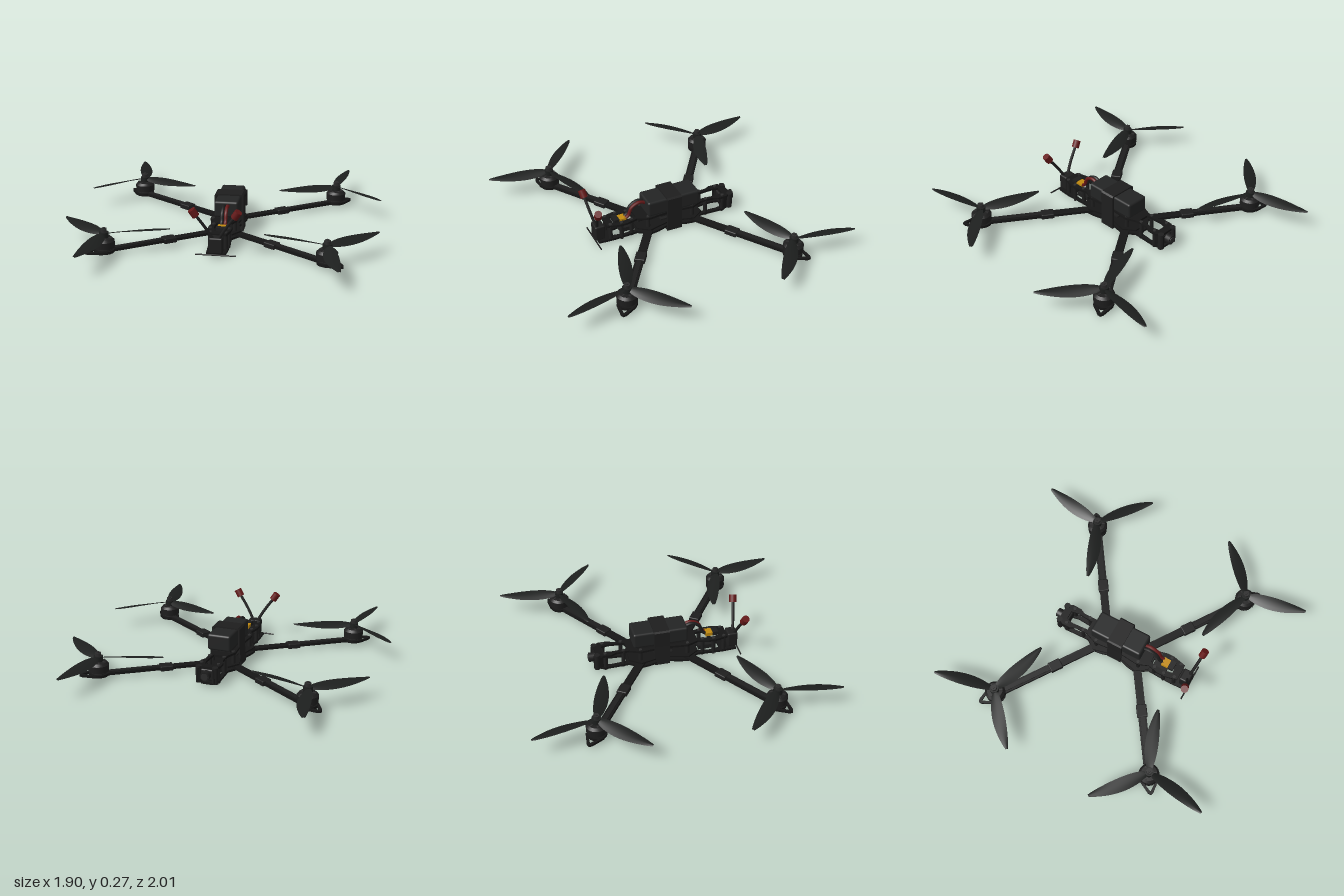
import * as THREE from 'three';
import { RoundedBoxGeometry } from 'three/addons/geometries/RoundedBoxGeometry.js';

const mat = (name, color, side = THREE.FrontSide) => {
  const m = new THREE.MeshStandardMaterial({ color, side });
  m.name = name;
  return m;
};

export function createModel() {
  const carbon = mat('carbon black', 0x161616);
  const plastic = mat('black plastic', 0x1e1e1e);
  const rubber = mat('battery black', 0x232424);
  const propMat = mat('propeller black', 0x1d1f1e, THREE.DoubleSide);
  const metal = mat('dark metal', 0x2c2c2c);
  const red = mat('dark red', 0x651818);
  const yellow = mat('connector yellow', 0xc08a10);

  const model = new THREE.Group();
  model.name = 'quadcopter';
  const yaw = 0.517;
  const body = new THREE.Group();
  body.name = 'airframe';
  body.rotation.y = yaw;
  model.add(body);

  const add = (parent, name, geo, m, x = 0, y = 0, z = 0) => {
    const mesh = new THREE.Mesh(geo, m);
    mesh.name = name;
    mesh.position.set(x, y, z);
    parent.add(mesh);
    return mesh;
  };
  const box = (w, h, d) => new THREE.BoxGeometry(w, h, d);
  const cyl = (r, h, n = 20, r2 = r) => new THREE.CylinderGeometry(r, r2, h, n);
  const tube = (pts, r) => new THREE.TubeGeometry(
    new THREE.CatmullRomCurve3(pts.map(p => new THREE.Vector3(...p))), 20, r, 8);
  const poly = pts => pts.map(p => new THREE.Vector2(...p));
  // Flat plate in the xz plane whose upper face sits at y = 0
  const plate = (outline, holes, t) => {
    const s = new THREE.Shape(poly(outline));
    holes.forEach(h => s.holes.push(new THREE.Path(poly(h))));
    return new THREE.ExtrudeGeometry(s, { depth: t, bevelEnabled: false }).rotateX(Math.PI / 2);
  };
  // Mirrored outline from half-widths listed as [halfWidth, z]
  const mirrored = half => [...half, ...half.map(([x, z]) => [-x, z]).reverse()];

  // Frame plates with end slots
  const slots = [
    mirrored([[0.024, -0.33], [0.032, -0.29], [0.026, -0.2]]),
    mirrored([[0.026, 0.19], [0.034, 0.26], [0.024, 0.32]]),
  ];
  const topHalf = [[0.042, -0.37], [0.062, -0.34], [0.062, -0.29], [0.048, -0.26], [0.048, -0.19],
    [0.072, -0.13], [0.06, 0], [0.072, 0.13], [0.048, 0.19], [0.062, 0.25], [0.062, 0.29], [0.046, 0.36]];
  const bottomHalf = [[0.03, -0.37], [0.055, -0.33], [0.05, -0.19], [0.092, -0.13], [0.085, -0.08],
    [0.06, 0], [0.085, 0.08], [0.092, 0.13], [0.05, 0.19], [0.055, 0.33], [0.05, 0.41]];
  add(body, 'topPlate', plate(mirrored(topHalf), slots, 0.012), carbon, 0, 0.104, 0);
  add(body, 'bottomPlate', plate(mirrored(bottomHalf), slots, 0.012), carbon, 0, 0.02, 0);
  add(body, 'armClampPlate', plate(mirrored([[0.05, -0.19], [0.092, -0.13], [0.06, 0], [0.092, 0.13],
    [0.05, 0.19]]), [], 0.008), carbon, 0, 0.042, 0);

  // Standoffs and screws
  for (const sx of [-1, 1]) for (const [x, z] of [[0.046, -0.32], [0.04, -0.22], [0.058, -0.13],
    [0.058, 0.13], [0.04, 0.22], [0.048, 0.28], [0.04, 0.34]]) {
    add(body, 'standoff', cyl(0.011, 0.08, 12), plastic, sx * x, 0.056, z);
    add(body, 'screwHead', cyl(0.009, 0.006, 10), metal, sx * x, 0.107, z);
    add(body, 'bottomScrew', cyl(0.009, 0.006, 10), metal, sx * x, 0.006, z);
  }

  // Electronics stack between the plates
  [0.052, 0.072, 0.088].forEach((y, i) =>
    add(body, 'circuitBoard', box(0.095 - i * 0.008, 0.008, 0.1), plastic, 0, y, 0));
  add(body, 'videoTransmitter', box(0.06, 0.025, 0.08), plastic, 0, 0.04, 0.24);
  add(body, 'capacitor', cyl(0.018, 0.08, 16).rotateX(Math.PI / 2), plastic, 0, 0.065, 0.13);

  // Camera and its side cage
  for (const s of [-1, 1]) {
    add(body, 'cameraCage', box(0.01, 0.078, 0.075), carbon, s * 0.043, 0.058, -0.345);
    add(body, 'cageBumper', cyl(0.016, 0.09, 12), plastic, s * 0.045, 0.06, -0.365);
  }
  add(body, 'cameraBody', new RoundedBoxGeometry(0.07, 0.06, 0.05, 2, 0.008), plastic, 0, 0.06, -0.345);
  add(body, 'lensBarrel', cyl(0.025, 0.035, 20).rotateX(Math.PI / 2), plastic, 0, 0.062, -0.385);
  add(body, 'lensGlass', cyl(0.018, 0.006, 20).rotateX(Math.PI / 2), metal, 0, 0.062, -0.403);

  // Battery with strap around the frame
  add(body, 'battery', new RoundedBoxGeometry(0.128, 0.088, 0.3, 3, 0.012), rubber, 0.012, 0.156, -0.015);
  add(body, 'batteryPad', box(0.1, 0.01, 0.26), plastic, 0.005, 0.108, -0.015);
  const outer = [[-0.075, 0], [0.09, 0], [0.09, 0.2], [0.082, 0.208], [-0.058, 0.208], [-0.066, 0.2], [-0.066, 0.11]];
  const inner = [[-0.066, 0.006], [0.08, 0.006], [0.08, 0.199], [-0.056, 0.199], [-0.056, 0.11]];
  const strap = new THREE.Shape(poly(outer));
  strap.holes.push(new THREE.Path(poly(inner)));
  add(body, 'batteryStrap', new THREE.ExtrudeGeometry(strap, { depth: 0.085, bevelEnabled: false }),
    plastic, 0, 0, -0.055);

  // Battery leads and connector
  [[0.022, red], [0.002, plastic]].forEach(([x, m]) => add(body, 'batteryLead', tube([
    [x, 0.17, 0.12], [x, 0.186, 0.165], [x, 0.165, 0.21], [x, 0.12, 0.23], [x, 0.1, 0.26]], 0.009), m));
  add(body, 'powerConnector', box(0.045, 0.02, 0.04), yellow, 0.01, 0.105, 0.265);
  add(body, 'connectorShell', box(0.05, 0.022, 0.03), plastic, 0.01, 0.108, 0.3);

  // Antenna mount, two antennas and a cross aerial
  add(body, 'antennaMount', new RoundedBoxGeometry(0.07, 0.085, 0.055, 2, 0.008), plastic, 0, 0.06, 0.395);
  for (const s of [-1, 1]) {
    const from = new THREE.Vector3(s * 0.012, 0.09, 0.405), to = new THREE.Vector3(s * 0.112, 0.243, 0.432);
    add(body, 'antennaStem', tube([from.toArray(), [s * 0.05, 0.155, 0.418], to.toArray()], 0.008), plastic);
    const tip = add(body, 'antennaTip', cyl(0.02, 0.042, 16), red, s * 0.108, 0.237, 0.431);
    tip.quaternion.setFromUnitVectors(new THREE.Vector3(0, 1, 0), to.clone().sub(from).normalize());
  }
  add(body, 'crossAerial', cyl(0.004, 0.21, 8).rotateZ(Math.PI / 2), plastic, 0, 0.012, 0.42);

  // Propeller blade: leaf outline, twisted toward the root
  const blade = new THREE.PlaneGeometry(1, 1, 20, 4).rotateX(-Math.PI / 2);
  const p = blade.attributes.position;
  for (let i = 0; i < p.count; i++) {
    const t = p.getX(i) + 0.5, v = p.getZ(i);
    const chord = 0.02 + 0.056 * Math.pow(Math.sin(Math.PI * Math.pow(t, 0.85)), 0.8) - 0.008 * t;
    const pitch = 0.42 - 0.34 * t;
    p.setXYZ(i, 0.012 + t * 0.326, v * chord * Math.sin(pitch) + 0.004 * (1 - 4 * v * v),
      v * chord * Math.cos(pitch) - 0.008 * Math.sin(Math.PI * t));
  }
  blade.computeVertexNormals();

  // Arms, motors and propellers: [side x, side z, blade heading in degrees]
  const armLen = 0.61;
  for (const [sx, sz, heading] of [[1, -1, 10.3], [-1, -1, -12], [1, 1, 168], [-1, 1, 190.3]]) {
    const mx = sx * 0.563, mz = sz * 0.468;
    const arm = new THREE.Group();
    arm.name = 'arm';
    arm.position.set(mx, 0, mz);
    arm.rotation.y = Math.atan2(-sz * 0.343, sx * 0.503);
    body.add(arm);
    add(arm, 'armBeam', box(armLen, 0.014, 0.044), carbon, -armLen / 2, 0.026, 0);
    add(arm, 'armSleeve', new RoundedBoxGeometry(0.07, 0.028, 0.056, 2, 0.005), plastic, -0.355, 0.026, 0);
    add(arm, 'motorWire', box(0.28, 0.006, 0.024), plastic, -0.18, 0.035, 0);
    add(arm, 'motorMount', cyl(0.052, 0.014, 24), carbon, 0, 0.026, 0);
    add(arm, 'armTipGuard', plate([[0.025, -0.05], [0.092, -0.014], [0.102, 0], [0.092, 0.014], [0.025, 0.05]],
      [[[0.042, -0.027], [0.085, 0], [0.042, 0.027]]], 0.012), carbon, 0, 0.032, 0);

    const motor = new THREE.Group();
    motor.name = 'motor';
    motor.position.set(mx, 0, mz);
    body.add(motor);
    add(motor, 'motorBase', cyl(0.042, 0.012, 24), plastic, 0, 0.038, 0);
    add(motor, 'motorStator', cyl(0.044, 0.02, 24), metal, 0, 0.048, 0);
    add(motor, 'motorBell', new THREE.LatheGeometry(poly([[0, 0.044], [0.053, 0.044], [0.053, 0.044],
      [0.054, 0.08], [0.054, 0.08], [0.042, 0.093], [0.042, 0.093], [0, 0.095]]), 28), plastic);
    for (let i = 0; i < 6; i++) {
      const a = i * Math.PI / 3;
      add(motor, 'bellSpoke', box(0.03, 0.004, 0.008), metal,
        0.026 * Math.cos(a), 0.095, 0.026 * Math.sin(a)).rotation.y = -a;
    }

    const prop = new THREE.Group();
    prop.name = 'propeller';
    prop.position.set(mx, 0.115, mz);
    prop.rotation.y = -heading * Math.PI / 180 - yaw;
    body.add(prop);
    add(prop, 'propHub', cyl(0.024, 0.028, 20), propMat, 0, -0.004, 0);
    add(prop, 'propNut', cyl(0.017, 0.02, 6), metal, 0, 0.018, 0);
    add(prop, 'shaftTip', cyl(0.008, 0.01, 10), metal, 0, 0.028, 0);
    for (let i = 0; i < 3; i++) {
      const b = add(prop, 'blade', blade, propMat);
      b.rotation.y = i * Math.PI * 2 / 3;
      // Opposite pairs spin the other way
      if (sx === sz) b.scale.z = -1;
      if (sx !== sz) b.scale.z = 1;
    }
  }
  return model;
}
